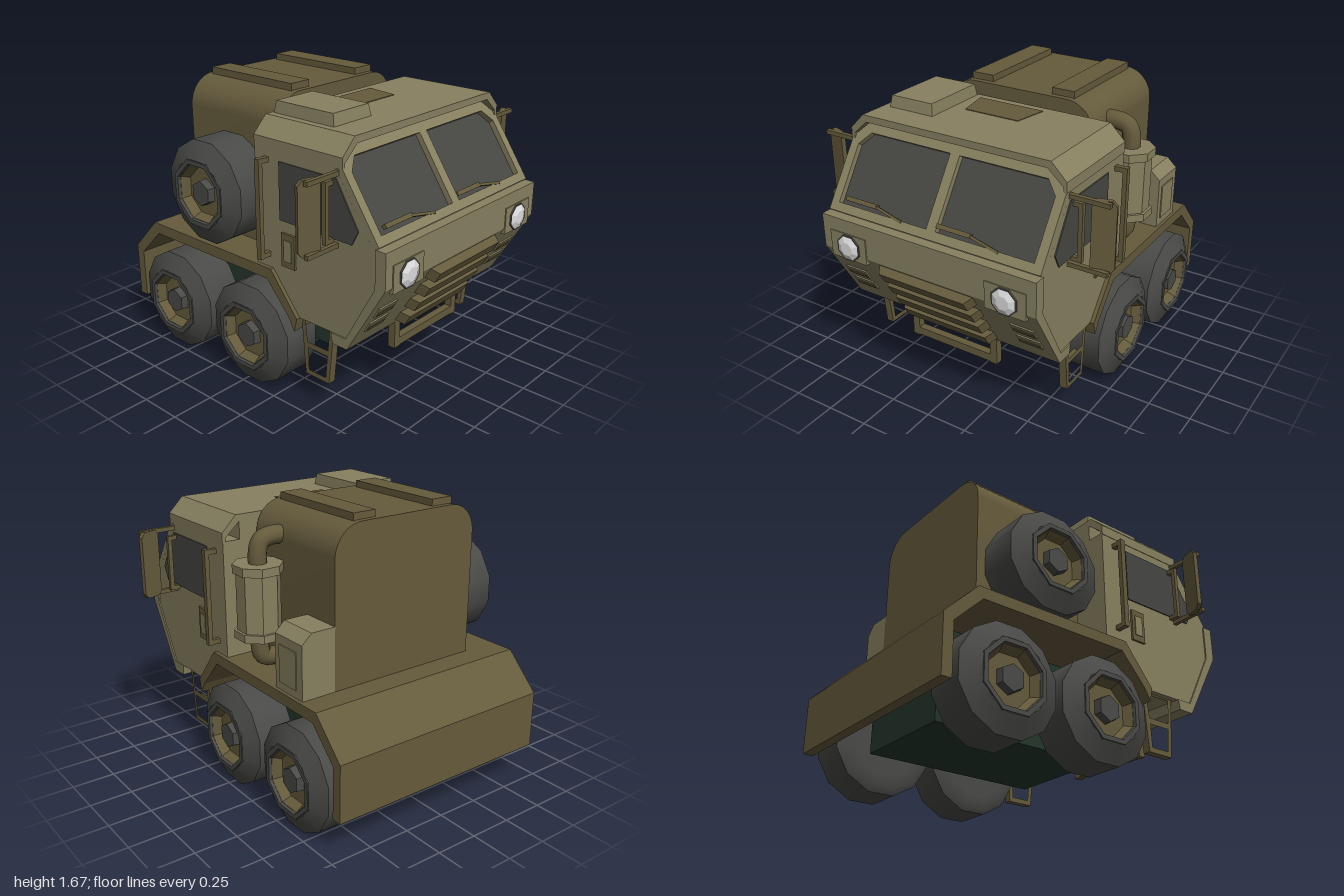
import * as THREE from 'three';
import { toCreasedNormals } from 'three/addons/utils/BufferGeometryUtils.js';

const mat = (name, color) => {
  const m = new THREE.MeshStandardMaterial({ color });
  m.name = name;
  return m;
};

export function createModel() {
  const khaki = mat('khaki', 0x878060), olive = mat('olive', 0x655b3c);
  const rubber = mat('rubber', 0x4a4b48), glass = mat('glass', 0x464643);
  const chassisGreen = mat('chassisGreen', 0x24362b), lampWhite = mat('lampWhite', 0xdedede);
  const model = new THREE.Group();
  model.name = 'truck';

  const add = (name, geo, material, x = 0, y = 0, z = 0, parent = model) => {
    const m = new THREE.Mesh(geo, material);
    m.name = name;
    m.position.set(x, y, z);
    parent.add(m);
    return m;
  };
  // Box given by its limits
  const box = (name, material, x0, x1, y0, y1, z0, z1, parent) =>
    add(name, new THREE.BoxGeometry(Math.abs(x1 - x0), y1 - y0, z1 - z0), material,
      (x0 + x1) / 2, (y0 + y1) / 2, (z0 + z1) / 2, parent);
  const poly = (pts) => new THREE.Shape(pts.map(([a, b]) => new THREE.Vector2(a, b)));
  const slab = (shape, depth, curveSegments = 6) =>
    new THREE.ExtrudeGeometry(shape, { depth, bevelEnabled: false, curveSegments });
  // Side profile of [z, y] points, extruded across x
  const across = (name, material, shape, x0, x1) =>
    add(name, slab(shape, x1 - x0).rotateY(-Math.PI / 2).translate(x1, 0, 0), material);
  const flat = (geo) => toCreasedNormals(geo, 0.2);
  const lathe = (pts, n) => new THREE.LatheGeometry(
    pts.map(([r, h]) => new THREE.Vector2(r, h)), n, Math.PI / n);

  // Wheels, axis along x, outer face on +x
  const onAxle = (geo, crease) => toCreasedNormals(geo.rotateZ(-Math.PI / 2), crease);
  const tireGeo = onAxle(lathe([[0, -0.14], [0.2, -0.15], [0.27, -0.145], [0.305, -0.125], [0.305, 0.1],
    [0.2, 0.153], [0.19, 0.15], [0.185, 0.06], [0, 0.06]], 12), 0.6);
  const ringGeo = onAxle(lathe([[0.208, 0.12], [0.205, 0.157], [0.178, 0.157], [0.17, 0.12]], 8), 0.2);
  const rimGeo = onAxle(lathe([[0.19, 0.14], [0.172, 0.14], [0.145, 0.09], [0, 0.09]], 8), 0.2);
  const hubGeo = onAxle(lathe([[0.08, 0.08], [0.074, 0.135], [0, 0.135]], 6), 0.2);
  const wheel = (name, s, y, z) => {
    const g = new THREE.Group();
    g.name = name;
    g.position.set(s * 0.6, y, z);
    g.rotation.y = s > 0 ? 0 : Math.PI;
    add('tire', tireGeo, rubber, 0, 0, 0, g);
    add('wheelRing', ringGeo, rubber, 0, 0, 0, g);
    add('rim', rimGeo, olive, 0, 0, 0, g);
    add('hub', hubGeo, rubber, 0, 0, 0, g);
    model.add(g);
  };
  for (const s of [1, -1]) {
    wheel('frontWheel', s, 0.302, 0.022);
    wheel('rearWheel', s, 0.302, -0.612);
  }
  wheel('spareWheel', -1, 1.07, -0.31);

  // Chassis and full-width fender
  across('chassis', chassisGreen, poly([[-0.78, 0.165], [0.3, 0.165], [0.345, 0.37], [0.33, 0.5],
    [0.18, 0.7], [-0.78, 0.7]]), -0.32, 0.32);
  across('fender', olive, poly([[0.39, 0.52], [0.2, 0.755], [-0.8, 0.755], [-1, 0.55], [-1, 0.22],
    [-0.94, 0.22], [-0.94, 0.52], [-0.77, 0.69], [0.17, 0.69], [0.33, 0.51], [0.37, 0.44]]), -0.7, 0.7);

  // Cab body, sunk behind the windscreen frame
  across('cabBody', khaki, poly([[0.08, 1.43], [0.08, 0.755], [0.2, 0.755], [0.38, 0.52], [0.72, 0.52],
    [0.91, 0.86], [0.91, 1.08], [0.872, 1.08], [0.635, 1.43]]), -0.677, 0.677);
  across('cabTop', khaki, poly([[0.08, 1.43], [0.635, 1.43], [0.568, 1.53], [0.08, 1.53]]), -0.57, 0.57);
  add('roof', slab(poly([[-0.68, 1.42], [-0.66, 1.42], [-0.66, 1.45], [-0.57, 1.53], [0.57, 1.53],
    [0.66, 1.45], [0.66, 1.42], [0.68, 1.42], [0.68, 1.48], [0.59, 1.57], [-0.59, 1.57],
    [-0.68, 1.48]]), 0.61), khaki, 0, 0, 0.08);
  across('nosePanel', khaki, poly([[0.905, 1.07], [0.97, 1.07], [0.97, 0.87], [0.73, 0.46], [0.63, 0.46],
    [0.62, 0.52], [0.72, 0.52], [0.905, 0.86]]), -0.685, 0.685);

  // Windscreen, laid out flat and tilted back
  const screen = new THREE.Group();
  screen.name = 'windscreen';
  screen.position.set(0, 1.058, 0.887);
  screen.rotation.x = -0.595;
  model.add(screen);
  const frame = poly([[-0.677, 0], [0.677, 0], [0.677, 0.42], [0.57, 0.543], [-0.57, 0.543], [-0.677, 0.42]]);
  for (const s of [1, -1]) {
    const pane = [[0.03, 0.05], [0.625, 0.05], [0.625, 0.385], [0.56, 0.46], [0.03, 0.46]].map(([x, y]) => [s * x, y]);
    frame.holes.push(poly(pane));
    add('windscreenPane', slab(poly(pane), 0.006), glass, 0, 0, 0.002, screen);
  }
  add('windscreenFrame', slab(frame, 0.04), khaki, 0, 0, 0, screen);
  for (const x of [-0.48, 0.13]) {
    box('wiperBlade', olive, x - 0.1, x + 0.11, 0.07, 0.095, 0.025, 0.05, screen);
    const arm = box('wiperArm', olive, x + 0.1, x + 0.29, 0.055, 0.07, 0.03, 0.045, screen);
    arm.rotation.z = -0.2;
  }

  // Roof hatch and vent
  const hatch = new THREE.CylinderGeometry(0.94 * Math.SQRT1_2, Math.SQRT1_2, 1, 4).rotateY(Math.PI / 4);
  add('roofHatch', flat(hatch.scale(0.29, 0.066, 0.42)), khaki, -0.4, 1.603, 0.305);
  add('roofVent', slab(poly([[-0.21, -0.13], [0.205, -0.13], [0.17, -0.33], [-0.17, -0.33]]), 0.004)
    .rotateX(-Math.PI / 2), olive, 0, 1.57, 0);

  // Grille slats and side louvres on the sloping nose
  const nose = new THREE.Group();
  nose.name = 'grille';
  nose.position.set(0, 0.87, 0.97);
  nose.rotation.x = 0.53;
  model.add(nose);
  const slat = slab(poly([[-0.31, -0.01], [0.31, -0.01], [0.275, 0.05], [-0.275, 0.05]]), 0.07).rotateX(Math.PI / 2);
  for (let i = 0; i < 4; i++) add('grilleSlat', slat, olive, 0, -0.015 - i * 0.12, 0, nose);

  for (const s of [1, -1]) {
    for (const y of [-0.2, -0.315]) {
      box('louvreFrame', khaki, s * 0.48, s * 0.625, y - 0.035, y + 0.035, -0.01, 0.008, nose);
      box('louvreSlot', olive, s * 0.49, s * 0.615, y - 0.025, y + 0.004, 0, 0.011, nose);
    }

    // Headlight
    box('headlightHousing', khaki, s * 0.385, s * 0.63, 0.835, 0.99, 0.9, 0.976);
    const lamp = (name, r0, r1, d, m, z) => add(name, flat(new THREE.CylinderGeometry(r1, r0, d, 8)
      .rotateY(Math.PI / 8).rotateX(Math.PI / 2)), m, s * 0.505, 0.91, z);
    lamp('headlightBezel', 0.082, 0.08, 0.02, rubber, 0.974);
    lamp('headlightLens', 0.072, 0.04, 0.014, lampWhite, 0.991);

    // Door window, latch and grab rails
    const sx = s * 0.68;
    across('sideWindow', glass, poly([[0.26, 1.37], [0.26, 1.05], [0.755, 1.05], [0.795, 1.13],
      [0.65, 1.37]]), sx - 0.004, sx + 0.004);
    box('doorLatch', olive, s * 0.67, s * 0.69, 0.795, 0.985, 0.275, 0.37);
    box('doorLatchPlate', khaki, s * 0.68, s * 0.695, 0.83, 0.95, 0.295, 0.35);
    box('grabRail', olive, s * 0.725, s * 0.752, 0.82, 1.38, 0.153, 0.185);
    for (const y of [0.82, 1.35]) box('grabRailBracket', olive, s * 0.67, s * 0.74, y, y + 0.028, 0.155, 0.183);

    // Mirror on its frame
    for (const y of [1.01, 1.385]) box('mirrorArm', olive, s * 0.66, s * 0.9, y, y + 0.025, 0.64, 0.665);
    box('mirrorPost', olive, s * 0.715, s * 0.74, 1.03, 1.36, 0.61, 0.635);
    for (const y of [1.03, 1.335]) box('mirrorPostBracket', olive, s * 0.66, s * 0.73, y, y + 0.025, 0.61, 0.635);
    const plate = poly([[-0.06, -0.17], [-0.04, -0.198], [0.04, -0.198], [0.065, -0.17], [0.065, 0.17],
      [0.04, 0.198], [-0.04, 0.198], [-0.06, 0.17]].map(([x, y]) => [s * x, y]));
    add('mirror', slab(plate, 0.025), olive, s * 0.848, 1.21, 0.615).rotation.y = s * 0.3;

    // Boarding step: tapered ladder with two openings
    const step = poly([[0.605, 0.53], [0.57, 0.17], [0.4, 0.17], [0.37, 0.53]]);
    step.holes.push(poly([[0.575, 0.51], [0.562, 0.37], [0.415, 0.37], [0.4, 0.51]]),
      poly([[0.558, 0.335], [0.546, 0.2], [0.425, 0.2], [0.42, 0.335]]));
    across('boardingStep', olive, step, s * 0.62 - 0.023, s * 0.62 + 0.023);

    // Front guard uprights
    box('guardUpright', olive, s * 0.245, s * 0.29, 0.3, 0.48, 0.69, 0.735);
  }
  box('guardBar', olive, -0.29, 0.29, 0.305, 0.352, 0.69, 0.735);

  // Rear cargo housing with rounded top edges
  const r = 0.17, w = 0.475, top = 1.637;
  const hull = new THREE.Shape();
  hull.moveTo(-w, 0.75).lineTo(w, 0.75).lineTo(w, top - r);
  hull.absarc(w - r, top - r, r, 0, Math.PI / 2, false);
  hull.absarc(-w + r, top - r, r, Math.PI / 2, Math.PI, false);
  add('cargoHousing', toCreasedNormals(slab(hull, 0.715), 0.6), olive, 0, 0, -0.66);
  for (const s of [1, -1]) box('housingRib', olive, s * 0.195, s * 0.335, 1.6, 1.675, -0.627, 0.02);

  // Side locker
  add('locker', slab(poly([[0.46, 0.75], [0.68, 0.75], [0.68, 1.06], [0.62, 1.115], [0.46, 1.115]]), 0.24),
    khaki, 0, 0, -0.66);
  box('lockerDoor', khaki, 0.67, 0.686, 0.8, 1.01, -0.61, -0.46);

  // Exhaust: octagonal silencer and bent pipe
  const oct = (name, rad, y0, y1) => add(name, flat(new THREE.CylinderGeometry(rad, rad, y1 - y0, 8)
    .rotateY(Math.PI / 8)), khaki, 0.605, (y0 + y1) / 2, -0.155);
  oct('silencer', 0.122, 0.96, 1.35);
  oct('silencerLowerBand', 0.139, 0.945, 0.99);
  oct('silencerUpperBand', 0.139, 1.31, 1.358);
  const pipe = (name, pts) => add(name, new THREE.TubeGeometry(new THREE.CatmullRomCurve3(
    pts.map(([x, y]) => new THREE.Vector3(x, y, -0.155))), 16, 0.052, 10), olive);
  pipe('exhaustStack', [[0.605, 1.3], [0.605, 1.42], [0.585, 1.475], [0.53, 1.493], [0.44, 1.493]]);
  pipe('exhaustInlet', [[0.605, 1.0], [0.605, 0.88], [0.59, 0.83], [0.54, 0.812], [0.45, 0.812]]);

  return model;
}
